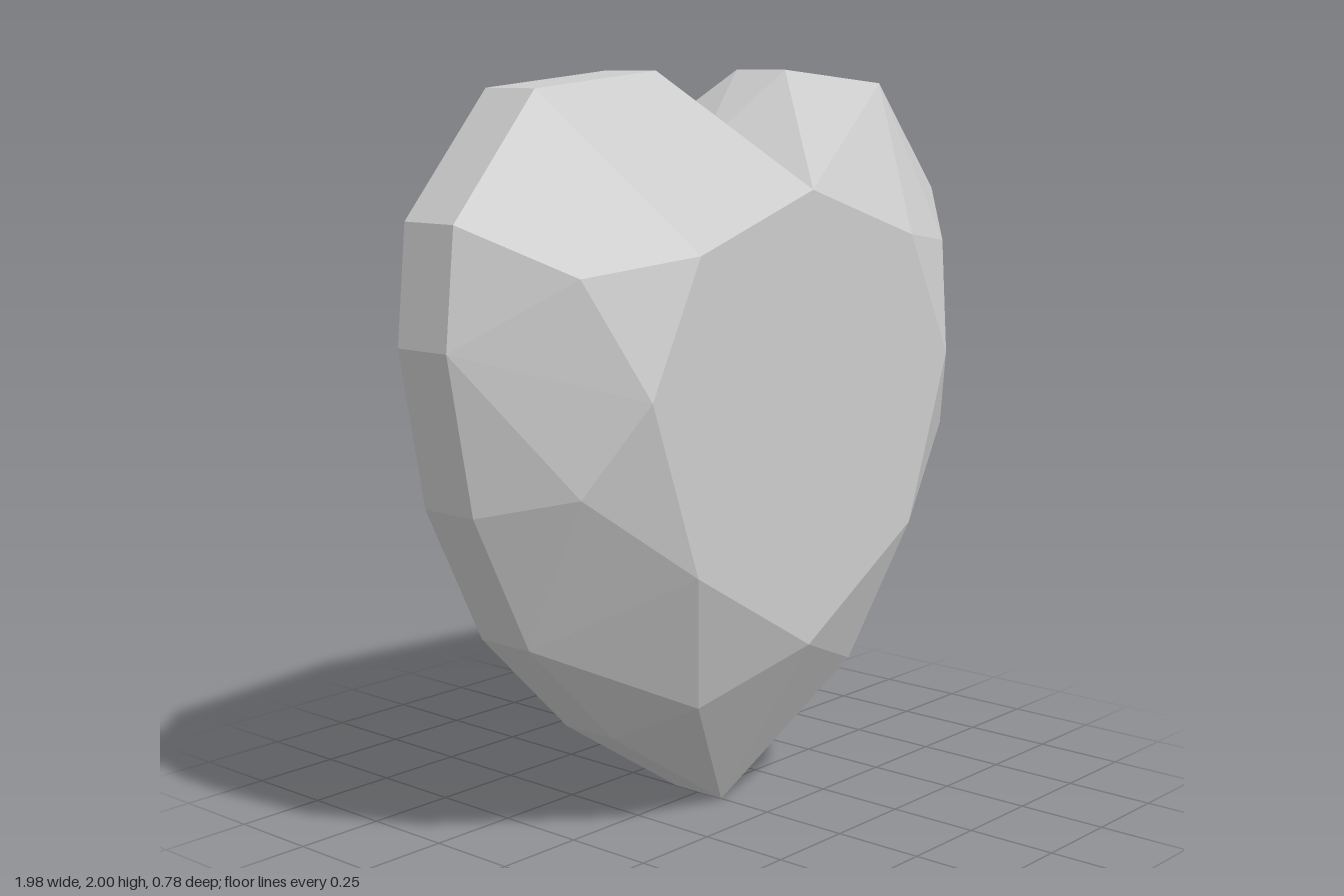
import * as THREE from 'three';

const GIRDLE_Z = 0.085, STAR_Z = 0.28, TABLE_Z = 0.39;
const at = (z) => ([x, y]) => [x, y, z];

// Right half of each ring, from the cleft down to the tip
const outline = [[0.26, 2], [0.69, 1.96], [0.96, 1.65], [0.99, 1.35], [0.915, 0.945], [0.735, 0.58], [0.435, 0.28], [0, 0]];
const g = outline.map(at(GIRDLE_Z));
const m = outline.map(at(0));
const s = [[0.74, 1.52], [0.745, 0.99], [0.32, 0.375]].map(at(STAR_Z));
const t = [[0, 1.7], [0.435, 1.56], [0.61, 1.22], [0.445, 0.76], [0, 0.5]].map(at(TABLE_Z));
const cleft = [0, 1.79, 0];

// One quarter of the gem; each facet is a counter-clockwise triangle
const quarter = {
  table: [1, 2, 3].map((i) => [t[0], t[i + 1], t[i]]),
  crownFacets: [
    [t[0], g[1], g[0]], [t[0], t[1], g[1]], [t[1], s[0], g[1]],
    [s[0], g[2], g[1]], [s[0], g[3], g[2]], [t[1], t[2], s[0]], [s[0], t[2], g[3]],
    [t[2], s[1], g[3]], [t[2], t[3], s[1]], [s[1], g[4], g[3]], [s[1], g[5], g[4]],
    [s[1], t[3], g[5]], [t[3], s[2], g[5]], [t[3], t[4], s[2]],
    [s[2], g[6], g[5]], [s[2], g[7], g[6]], [t[4], g[7], s[2]],
  ],
  girdle: g.slice(1).flatMap((p, i) => [[g[i], p, m[i + 1]], [g[i], m[i + 1], m[i]]]),
  cleft: [[t[0], g[0], cleft], [cleft, g[0], m[0]]],
};

// Corners must be stored clockwise-free: turn any table triangle to face outward
quarter.table = quarter.table.map(([a, b, c]) => {
  const area = (b[0] - a[0]) * (c[1] - a[1]) - (b[1] - a[1]) * (c[0] - a[0]);
  return area > 0 ? [a, b, c] : [a, c, b];
});

// Mirror a quarter's facets in x and/or z, reversing the winding when needed
function mirrored(facets, sides) {
  const positions = [];
  for (const sz of sides) for (const sx of [1, -1]) {
    for (const [a, b, c] of facets) {
      const corners = sx * sz > 0 ? [a, b, c] : [a, c, b];
      for (const [x, y, z] of corners) positions.push(sx * x, y, sz * z);
    }
  }
  const geometry = new THREE.BufferGeometry();
  geometry.setAttribute('position', new THREE.Float32BufferAttribute(positions, 3));
  geometry.computeVertexNormals();
  return geometry;
}

export function createModel() {
  const group = new THREE.Group();
  group.name = 'heartGem';
  const material = new THREE.MeshStandardMaterial({ color: 0xcccccc, flatShading: true });
  const add = (name, facets, sides) => {
    const mesh = new THREE.Mesh(mirrored(facets, sides), material);
    mesh.name = name;
    group.add(mesh);
  };

  // Flat faces and the facets sloping from them to the rim
  add('frontTable', quarter.table, [1]);
  add('backTable', quarter.table, [-1]);
  add('frontFacets', quarter.crownFacets, [1]);
  add('backFacets', quarter.crownFacets, [-1]);

  // Straight rim band and the notch between the lobes
  add('girdle', quarter.girdle, [1, -1]);
  add('cleft', quarter.cleft, [1, -1]);
  return group;
}
